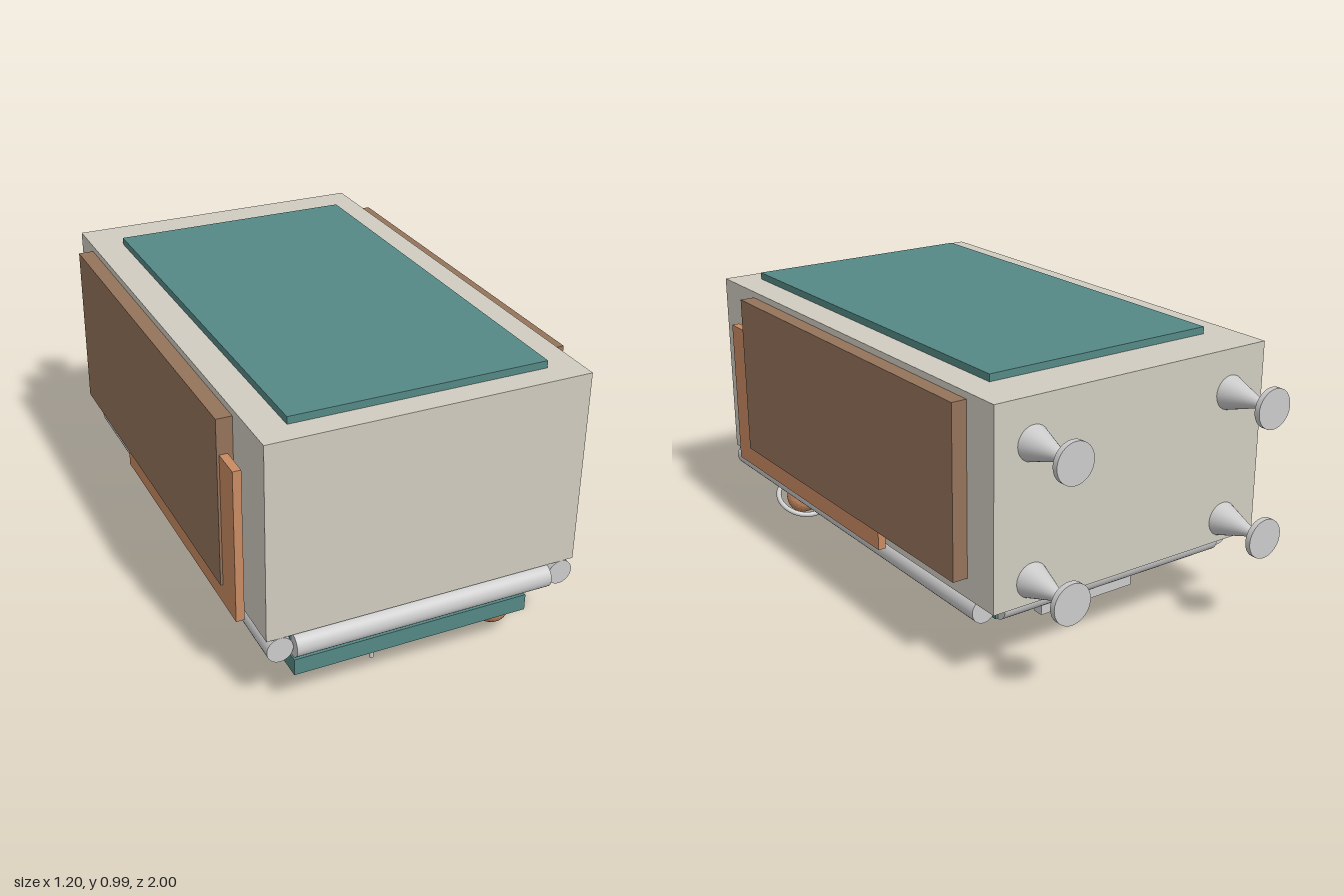
import * as THREE from 'three';

const mat = (color) => new THREE.MeshStandardMaterial({ color });
const GREY = mat(0xcccccc), CREAM = mat(0xd0ccc0), TEAL = mat(0x548885), BROWN = mat(0x94735b);
const ORANGE = mat(0xc98b62), GREEN = mat(0x76d699), DARK = mat(0x55595a), BLACK = mat(0x303435);
const MOSS = mat(0x4f9a58), TAN = mat(0xa88a55), SLATE = mat(0x7f918f);

export function createModel() {
  const root = new THREE.Group();

  function add(name, geo, material, x = 0, y = 0, z = 0, parent = root) {
    const m = new THREE.Mesh(geo, material);
    m.name = name;
    m.position.set(x, y, z);
    parent.add(m);
    return m;
  }
  // Box given by its extents
  const box = (name, material, x0, x1, y0, y1, z0, z1) =>
    add(name, new THREE.BoxGeometry(x1 - x0, y1 - y0, z1 - z0), material,
      (x0 + x1) / 2, (y0 + y1) / 2, (z0 + z1) / 2);
  // Cylinder lying along z or x
  const rodZ = (name, material, r, x, y, z0, z1) =>
    add(name, new THREE.CylinderGeometry(r, r, z1 - z0, 32).rotateX(Math.PI / 2), material, x, y, (z0 + z1) / 2);
  const rodX = (name, material, r, x0, x1, y, z) =>
    add(name, new THREE.CylinderGeometry(r, r, x1 - x0, 32).rotateZ(Math.PI / 2), material, (x0 + x1) / 2, y, z);
  // Rectangular frame lying flat, with an open middle
  function frame(name, material, x0, x1, y0, y1, z0, z1, border) {
    const outline = (p, b) => {
      p.moveTo(x0 + b, -z0 - b);
      p.lineTo(x1 - b, -z0 - b);
      p.lineTo(x1 - b, -z1 + b);
      p.lineTo(x0 + b, -z1 + b);
      p.closePath();
      return p;
    };
    const shape = outline(new THREE.Shape(), 0);
    shape.holes.push(outline(new THREE.Path(), border));
    const geo = new THREE.ExtrudeGeometry(shape, { depth: y1 - y0, bevelEnabled: false });
    return add(name, geo.rotateX(-Math.PI / 2), material, 0, y0, 0);
  }

  // Main body and roof panel
  box('body', CREAM, -0.545, 0.545, 0.29, 0.97, -0.8, 0.97);
  box('roofPanel', TEAL, -0.437, 0.437, 0.97, 0.995, -0.625, 0.885);

  // Side panels and lower side rails
  for (const [s, side] of [[1, 'left'], [-1, 'right']]) {
    const lo = (a, b) => Math.min(s * a, s * b), hi = (a, b) => Math.max(s * a, s * b);
    box(side + 'OuterPanel', BROWN, lo(0.545, 0.598), hi(0.545, 0.598), 0.36, 0.947, -0.66, 0.735);
    box(side + 'InnerPanel', ORANGE, lo(0.562, 0.59), hi(0.562, 0.59), 0.29, 0.825, -0.2, 0.84);
    rodZ(side + 'Rail', GREY, 0.044, s * 0.5, 0.246, -0.685, 0.97);

    // Rear cones with end discs
    for (const y of [0.82, 0.37]) {
      add('rearCone', new THREE.ConeGeometry(0.06, 0.185, 32).rotateX(-Math.PI / 2), GREY, s * 0.4, y, -0.89);
      rodZ('rearDisc', GREY, 0.069, s * 0.4, y, -1, -0.98);
    }
  }
  rodX('frontRail', GREY, 0.042, -0.455, 0.45, 0.246, 0.957);
  rodX('rearRail', GREY, 0.044, -0.455, 0.45, 0.246, -0.685);

  // Underside base and front beam
  box('base', TEAL, -0.46, 0.46, 0.205, 0.29, -0.69, 0.95);
  box('frontBeam', TEAL, -0.46, 0.363, 0.148, 0.206, 0.82, 0.985);

  // Battery tray with three by three cells
  box('trayFloor', SLATE, -0.46, 0.2, 0.185, 0.205, -0.06, 0.8);
  frame('trayRim', GREY, -0.487, 0.225, 0.16, 0.205, -0.08, 0.82, 0.03);
  for (const x of [-0.32, -0.12, 0.08]) {
    for (const z of [0.68, 0.39, 0.09]) {
      rodZ('cell', GREEN, 0.057, x, 0.133, z - 0.08, z + 0.08);
      for (const s of [-1, 1]) {
        rodZ('cellCap', DARK, 0.063, x, 0.133, z + s * 0.09 - 0.02, z + s * 0.09 + 0.02);
      }
    }
  }

  // Control plate with knobs, indicator and two sockets
  box('controlPlate', BLACK, 0.226, 0.447, 0.18, 0.205, -0.08, 0.84);
  for (const z of [0.66, 0.53, 0.4]) {
    const knob = new THREE.Group();
    knob.name = 'knob';
    knob.position.set(0.345, 0, z);
    add('knobNeck', new THREE.CylinderGeometry(0.035, 0.035, 0.03, 24), GREY, 0, 0.17, 0, knob);
    add('knobCollar', new THREE.CylinderGeometry(0.055, 0.055, 0.025, 24), GREY, 0, 0.15, 0, knob);
    add('knobFace', new THREE.CylinderGeometry(0.06, 0.06, 0.01, 24), MOSS, 0, 0.132, 0, knob);
    root.add(knob);
  }
  add('indicatorStem', new THREE.CylinderGeometry(0.006, 0.006, 0.04, 12), GREY, 0.423, 0.16, 0.38);
  add('indicator', new THREE.SphereGeometry(0.012, 16, 12), MOSS, 0.423, 0.138, 0.38);
  frame('socketFront', GREY, 0.285, 0.41, 0.15, 0.18, 0.18, 0.255, 0.015);
  box('socketFrontCore', BLACK, 0.32, 0.38, 0.13, 0.18, 0.2, 0.23);
  frame('socketRear', GREY, 0.285, 0.41, 0.148, 0.18, 0.05, 0.125, 0.015);
  box('socketRearCore', TAN, 0.3, 0.395, 0.165, 0.18, 0.065, 0.11);

  // Rear hatch with a hanging fin
  frame('hatchFrame', GREY, -0.37, 0.23, 0.163, 0.205, -0.555, -0.12, 0.04);
  box('hatchPanel', BLACK, -0.33, 0.19, 0.195, 0.206, -0.515, -0.16);
  box('hatchFin', GREY, -0.27, 0.13, 0.035, 0.16, -0.498, -0.46);

  // Ringed ball under the front corner
  const ball = new THREE.IcosahedronGeometry(0.064, 3);
  add('ball', ball, new THREE.MeshStandardMaterial({ color: 0xc98b62, flatShading: true }), 0.34, 0.068, 0.82);
  const ring = add('ballRing', new THREE.TorusGeometry(0.099, 0.01, 12, 48), GREY, 0.342, 0.068, 0.815);
  ring.rotation.x = THREE.MathUtils.degToRad(64);

  // Small antenna under the front beam
  add('antennaBall', new THREE.SphereGeometry(0.026, 20, 14), GREY, -0.145, 0.131, 0.888);
  add('antennaRod', new THREE.CylinderGeometry(0.007, 0.007, 0.08, 12), GREY, -0.145, 0.088, 0.888);

  return root;
}
